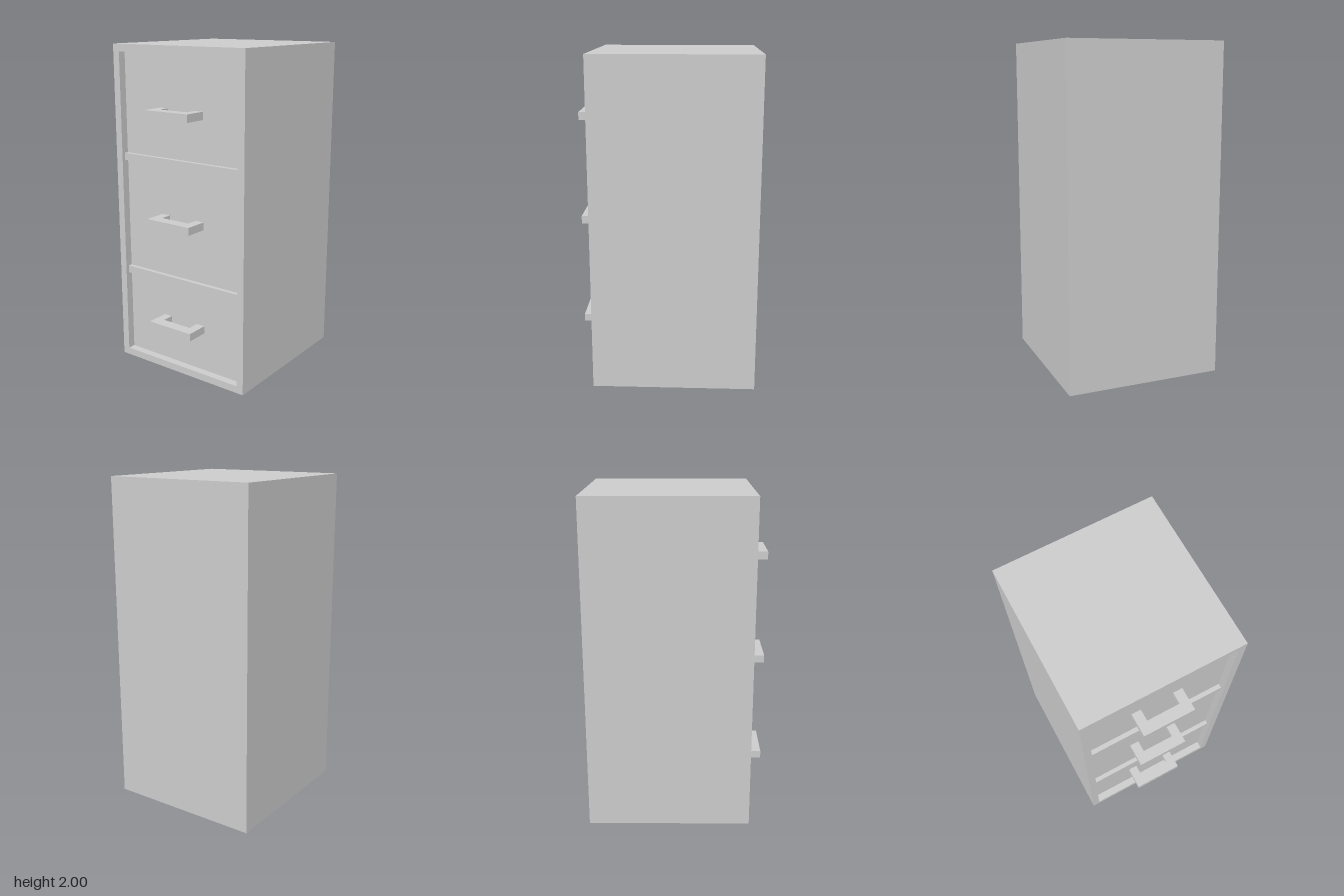
import * as THREE from 'three';

const material = new THREE.MeshStandardMaterial({ color: 0xcccccc });
const HALF_W = 0.477, HEIGHT = 2, BACK = -0.538, FRONT = 0.446;
const INNER = 0.431, LOW = 0.045, HIGH = 1.955;   // front opening
const CORE = 0.37, DRAWER = 0.398, RAIL = 0.425;  // z of core, drawer faces and rail faces

function add(parent, name, geometry) {
  const mesh = new THREE.Mesh(geometry, material);
  mesh.name = name;
  parent.add(mesh);
  return mesh;
}

// Box given by its limits
function box(parent, name, x0, x1, y0, y1, z0, z1) {
  const mesh = add(parent, name, new THREE.BoxGeometry(x1 - x0, y1 - y0, z1 - z0));
  mesh.position.set((x0 + x1) / 2, (y0 + y1) / 2, (z0 + z1) / 2);
  return mesh;
}

function rectangle(Type, x0, x1, y0, y1) {
  return new Type([[x0, y0], [x1, y0], [x1, y1], [x0, y1]].map(p => new THREE.Vector2(...p)));
}

// U-shaped pull, drawn in plan and extruded upwards
function handleGeometry() {
  const out = 0.538, inside = 0.469, w = 0.157, gap = 0.1, height = 0.047;
  const plan = [[-w, DRAWER], [-w, out], [w, out], [w, DRAWER],
    [gap, DRAWER], [gap, inside], [-gap, inside], [-gap, DRAWER]];
  const shape = new THREE.Shape(plan.map(([x, z]) => new THREE.Vector2(x, -z)));
  return new THREE.ExtrudeGeometry(shape, { depth: height, bevelEnabled: false })
    .rotateX(-Math.PI / 2).translate(0, -height / 2, 0);
}

export function createModel() {
  const cabinet = new THREE.Group();
  cabinet.name = 'filingCabinet';

  // Outer case: an open-fronted shell closed by the core at the back
  const outline = rectangle(THREE.Shape, -HALF_W, HALF_W, 0, HEIGHT);
  outline.holes.push(rectangle(THREE.Path, -INNER, INNER, LOW, HIGH));
  add(cabinet, 'caseShell', new THREE.ExtrudeGeometry(outline,
    { depth: FRONT - BACK, bevelEnabled: false })).position.z = BACK;
  box(cabinet, 'caseCore', -INNER, INNER, LOW, HIGH, BACK, CORE);

  // Rails between the drawers
  const rails = [[0.565, 0.611], [1.3, 1.343]];
  for (const [y0, y1] of rails) box(cabinet, 'rail', -INNER, INNER, y0, y1, CORE, RAIL);

  // Recessed drawer fronts with their pulls
  const pull = handleGeometry();
  const drawers = [
    { y0: LOW, y1: rails[0][0], handleY: 0.313 },
    { y0: rails[0][1], y1: rails[1][0], handleY: 0.969 },
    { y0: rails[1][1], y1: HIGH, handleY: 1.616 },
  ];
  for (const { y0, y1, handleY } of drawers) {
    const drawer = new THREE.Group();
    drawer.name = 'drawer';
    box(drawer, 'drawerFront', -INNER, INNER, y0, y1, CORE, DRAWER);
    add(drawer, 'drawerHandle', pull).position.y = handleY;
    cabinet.add(drawer);
  }
  return cabinet;
}
